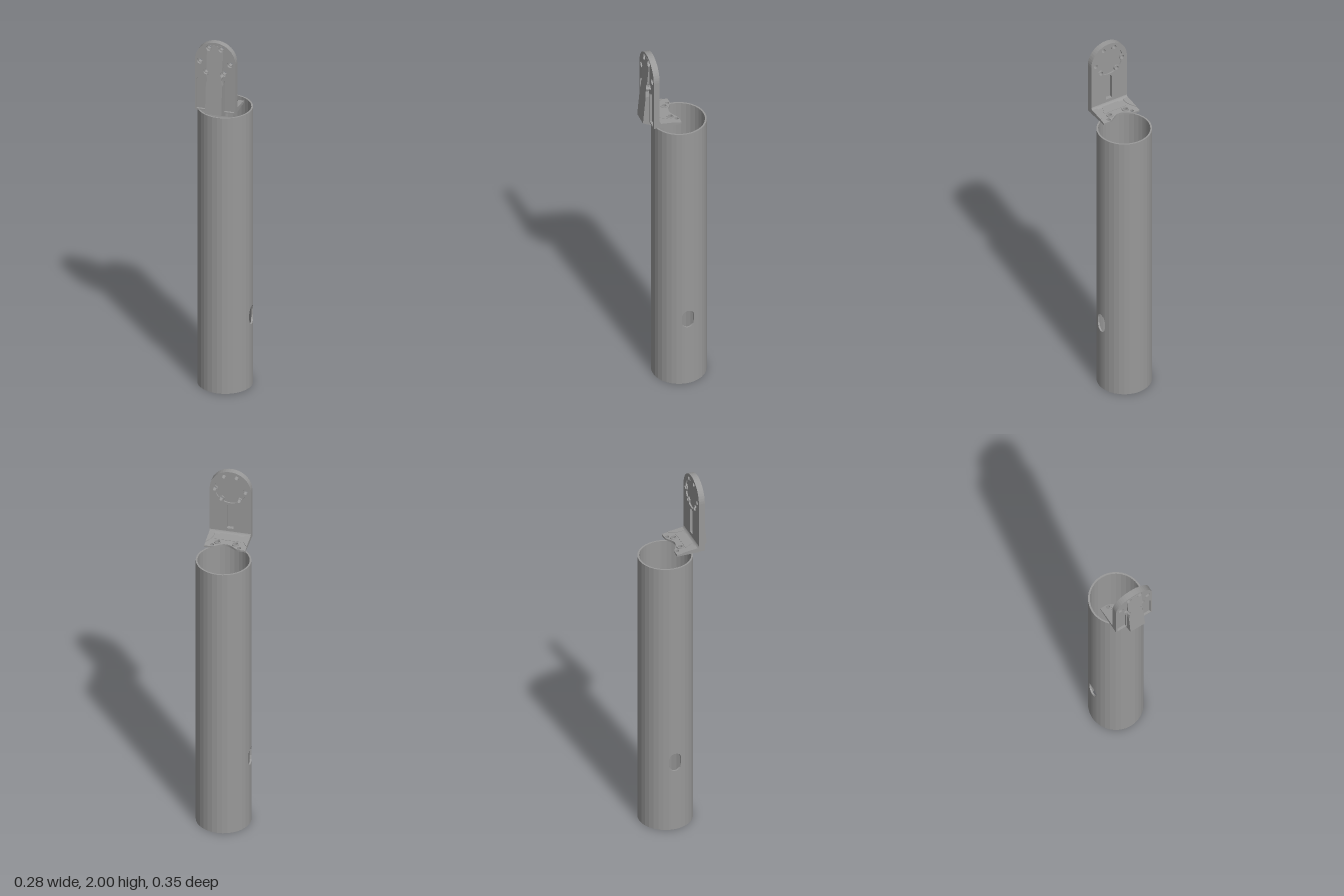
import * as THREE from 'three';

const mat = new THREE.MeshStandardMaterial({ color: 0x999999, flatShading: true, side: THREE.DoubleSide });

function add(group, name, geometry) {
  const mesh = new THREE.Mesh(geometry, mat);
  mesh.name = name;
  group.add(mesh);
  return mesh;
}

function circle(x, y, r) {
  return new THREE.Path().absarc(x, y, r, 0, Math.PI * 2, true);
}

function polygon(points) {
  return new THREE.Shape(points.map(([x, y]) => new THREE.Vector2(x, y)));
}

// Upright slot outline with a round top
function slot(x, y0, y1, half) {
  const p = new THREE.Path();
  p.moveTo(x - half, y0);
  p.lineTo(x + half, y0);
  p.lineTo(x + half, y1 - half);
  p.absarc(x, y1 - half, half, 0, Math.PI, false);
  p.closePath();
  return p;
}

function extrude(shape, depth) {
  return new THREE.ExtrudeGeometry(shape, { depth, bevelEnabled: false, curveSegments: 12 });
}

// Extrusion from z0 whose front face follows frontZ(y)
function slantedExtrude(shape, z0, frontZ) {
  const g = extrude(shape, 1), p = g.attributes.position;
  for (let i = 0; i < p.count; i++) p.setZ(i, p.getZ(i) > 0.5 ? frontZ(p.getY(i)) : z0);
  g.computeVertexNormals();
  return g;
}

// Joins equal-sized closed cross-sections into a surface
function loft(rings) {
  const n = rings[0].length, index = [];
  for (let i = 0; i < rings.length - 1; i++)
    for (let j = 0; j < n; j++) {
      const a = i * n + j, b = i * n + (j + 1) % n;
      index.push(a, b, b + n, a, b + n, a + n);
    }
  const g = new THREE.BufferGeometry();
  g.setAttribute('position', new THREE.Float32BufferAttribute(rings.flat(2), 3));
  g.setIndex(index);
  g.computeVertexNormals();
  return g;
}

// Hollow tube, split at slot height so that an oval hole opens on each side
function buildTube(group) {
  const R = 0.141, r = 0.132, cz = -0.033, top = 1.56, mid = 0.4, sr = 0.033, straight = 0.018;
  const edge = Math.asin(sr / R), columns = [];
  for (const side of [0, Math.PI]) {
    for (let i = 0; i <= 10; i++) {
      const t = -edge + (2 * edge * i) / 10, d = R * Math.sin(t);
      const h = straight + Math.sqrt(Math.max(0, sr * sr - d * d));
      if (i === 0) columns.push([side + t, 0]);
      columns.push([side + t, h]);
      if (i === 10) columns.push([side + t, 0]);
    }
    for (let i = 1; i < 14; i++)
      columns.push([side + edge + ((Math.PI - 2 * edge) * i) / 14, 0]);
  }
  columns.push(columns[0]);
  const section = (t, y0, y1) => [[R, y0], [R, y1], [r, y1], [r, y0]].map(
    ([q, y]) => [q * Math.cos(t), y, cz + q * Math.sin(t)]);
  add(group, 'tubeLower', loft(columns.map(([t, h]) => section(t, 0, mid - h)).reverse()));
  add(group, 'tubeUpper', loft(columns.map(([t, h]) => section(t, mid + h, top)).reverse()));
}

const W = 0.107, ARC_Y = 1.893;
const screwHoles = [[0.033, 1.968], [0.08, 1.887], [0.047, 1.832]]
  .flatMap(([x, y]) => [[x, y], [-x, y]]);

// One layer of the round-topped upright plate
function plateLayer(holeRadius, cuts) {
  const s = new THREE.Shape();
  s.moveTo(-W, 1.61);
  s.lineTo(W, 1.61);
  s.lineTo(W, ARC_Y);
  s.absarc(0, ARC_Y, W, 0, Math.PI, false);
  s.closePath();
  for (const [x, y] of screwHoles) s.holes.push(circle(x, y, holeRadius));
  s.holes.push(...cuts);
  return s;
}

// Round pocket whose rim steps inward around each screw hole
function scallopedPocket() {
  const points = [];
  for (let i = 0; i < 72; i++) {
    const a = (i / 72) * Math.PI * 2;
    const at = (r) => [r * Math.cos(a), ARC_Y + r * Math.sin(a)];
    let r = 0.08;
    while (screwHoles.some(([x, y]) => Math.hypot(at(r)[0] - x, at(r)[1] - y) < 0.016)) r -= 0.001;
    points.push(at(r));
  }
  return polygon(points);
}

function buildPlate(group) {
  const backSlot = () => slot(0, 1.66, 1.805, 0.018);
  const layers = [
    ['plateBack', 0.108, 0.008, plateLayer(0.011, [backSlot(), scallopedPocket()])],
    ['plateCore', 0.116, 0.012, plateLayer(0.011, [backSlot()])],
    ['plateFront', 0.128, 0.012, plateLayer(0.016,
      [slot(-0.073, 1.617, 1.805, 0.026), slot(0.073, 1.617, 1.805, 0.026)])],
  ];
  for (const [name, z, depth, shape] of layers)
    add(group, name, extrude(shape, depth)).position.z = z;

  // Tapering centre rib, scalloped around the screw heads
  const right = [[0.043, 1.61], [0.043, 1.77], [0.036, 1.8]];
  for (let i = 0; i <= 8; i++) {
    const a = Math.PI * (1.4 - 0.8 * (i / 8));
    right.push([0.047 + 0.017 * Math.cos(a), 1.832 + 0.017 * Math.sin(a)]);
  }
  right.push([0.043, 1.87]);
  for (let i = 0; i <= 8; i++) {
    const a = Math.PI * (1.7 - 1.2 * (i / 8));
    right.push([0.033 + 0.016 * Math.cos(a), 1.968 + 0.016 * Math.sin(a)]);
  }
  const left = right.map(([x, y]) => [-x, y]).reverse();
  add(group, 'frontRib', slantedExtrude(polygon([...right, ...left]), 0.13,
    (y) => 0.175 - 0.09 * (y - 1.61)));

  // Slanted tongue below the rib, with a hole through it
  const tongue = polygon([[-0.043, 1.578], [0.043, 1.578], [0.043, 1.61], [-0.043, 1.61]]);
  tongue.holes.push(circle(0, 1.596, 0.01));
  add(group, 'tongue', slantedExtrude(tongue, 0.105, (y) => 0.111 + 2 * (y - 1.578)));
}

// Flat slab in x and z whose upper face rises toward the plate
function slopedSlab(shape, lift) {
  const g = extrude(shape, 0.01);
  g.rotateX(Math.PI / 2);
  const p = g.attributes.position;
  for (let i = 0; i < p.count; i++)
    p.setY(i, p.getY(i) > -0.005 ? 1.617 + lift + 0.12 * (p.getZ(i) + 0.01) : 1.608);
  g.computeVertexNormals();
  return g;
}

function buildShelf(group) {
  const outer = [0.07, 0.005], inner = [0.047, 0.03];
  const s = new THREE.Shape();
  s.moveTo(-W, 0.11);
  s.lineTo(-W, -0.01);
  s.lineTo(-0.08, -0.01);
  s.bezierCurveTo(-0.045, -0.01, -0.035, 0.02, 0, 0.02);
  s.bezierCurveTo(0.035, 0.02, 0.045, -0.01, 0.08, -0.01);
  s.lineTo(W, -0.01);
  s.lineTo(W, 0.11);
  s.closePath();
  for (const m of [-1, 1]) {
    s.holes.push(circle(m * outer[0], outer[1], 0.01));
    s.holes.push(circle(m * inner[0], inner[1], 0.011));
  }
  add(group, 'shelf', slopedSlab(s, 0));

  // Raised centre web and rounded side pads on the shelf
  add(group, 'shelfWeb', slopedSlab(
    polygon([[-0.068, 0.05], [0.068, 0.05], [0.042, 0.11], [-0.042, 0.11]]), 0.002));
  const collar = [[0.011, 1.615], [0.012, 1.626], [0.018, 1.626], [0.019, 1.615]]
    .map(([r, y]) => new THREE.Vector2(r, y));
  for (const m of [-1, 1]) {
    const pad = new THREE.Shape();
    pad.moveTo(m * W, 0.02);
    pad.bezierCurveTo(m * 0.085, 0.04, m * 0.065, 0.08, m * 0.082, 0.11);
    pad.lineTo(m * W, 0.11);
    pad.closePath();
    add(group, 'shelfSidePad', slopedSlab(pad, 0.003));
    add(group, 'holeCollar', new THREE.LatheGeometry(collar, 20)).position.set(m * inner[0], 0, inner[1]);
  }

  // Fillet between shelf and plate
  const fillet = new THREE.Shape();
  fillet.moveTo(-0.11, 1.628);
  fillet.lineTo(-0.085, 1.628);
  fillet.quadraticCurveTo(-0.108, 1.63, -0.11, 1.652);
  fillet.closePath();
  const f = extrude(fillet, 2 * W);
  f.translate(0, 0, -W);
  f.rotateY(Math.PI / 2);
  add(group, 'shelfFillet', f);
}

export function createModel() {
  const model = new THREE.Group();
  model.name = 'bracketAndTube';
  const tube = new THREE.Group(), bracket = new THREE.Group();
  tube.name = 'tube';
  bracket.name = 'bracket';
  buildTube(tube);
  buildPlate(bracket);
  buildShelf(bracket);
  model.add(tube, bracket);
  return model;
}
